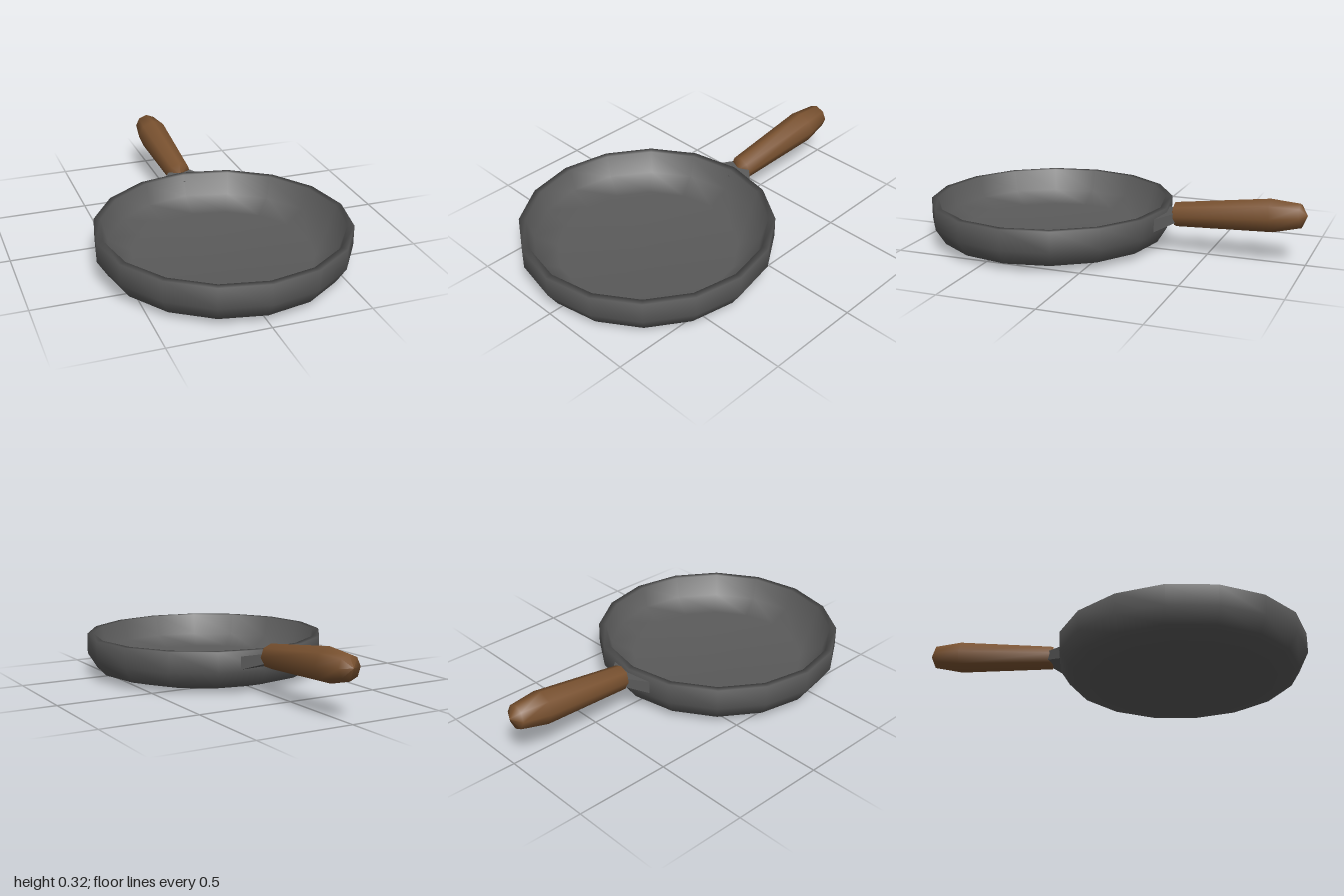
import * as THREE from 'three';

const lathe = (points, sides, material, name) => {
  const profile = points.map(([r, y]) => new THREE.Vector2(r, y));
  const mesh = new THREE.Mesh(new THREE.LatheGeometry(profile, sides), material);
  mesh.name = name;
  return mesh;
};

export function createModel() {
  const iron = new THREE.MeshStandardMaterial({ color: 0x5a5a5a });
  iron.name = 'castIron';
  const wood = new THREE.MeshStandardMaterial({ color: 0x7a5230 });
  wood.name = 'wood';
  const group = new THREE.Group();
  group.name = 'fryingPan';

  // Pan: outer wall, rim, inner wall and floor in one 16-sided profile
  const pan = lathe([
    [0, 0], [0.46, 0], [0.59, 0.035], [0.64, 0.115], [0.64, 0.222],
    [0.605, 0.222], [0.575, 0.11], [0.46, 0.055], [0, 0.05],
  ], 16, iron, 'pan');
  pan.position.z = 0.36;
  group.add(pan);

  // Handle: octagonal, swelling toward the end and tilted slightly upward
  const handle = lathe([
    [0, 0], [0.064, 0.025], [0.086, 0.52], [0.062, 0.665], [0, 0.698],
  ], 8, wood, 'handle');
  handle.rotation.x = -Math.PI / 2 + 0.088;
  handle.position.set(0, 0.193, -0.305);
  group.add(handle);

  // Bracket: flat bar, wide at the pan and narrow at the handle
  const bar = new THREE.BoxGeometry(1, 1, 1);
  const p = bar.attributes.position;
  for (let i = 0; i < p.count; i++) {
    const atPan = p.getZ(i) > 0;
    p.setXYZ(i,
      p.getX(i) * (atPan ? 0.3 : 0.1),
      atPan ? 0.155 + p.getY(i) * 0.07 : 0.188 + p.getY(i) * 0.05,
      atPan ? -0.235 : -0.34);
  }
  bar.computeVertexNormals();
  const bracket = new THREE.Mesh(bar, iron);
  bracket.name = 'handleBracket';
  group.add(bracket);

  return group;
}
